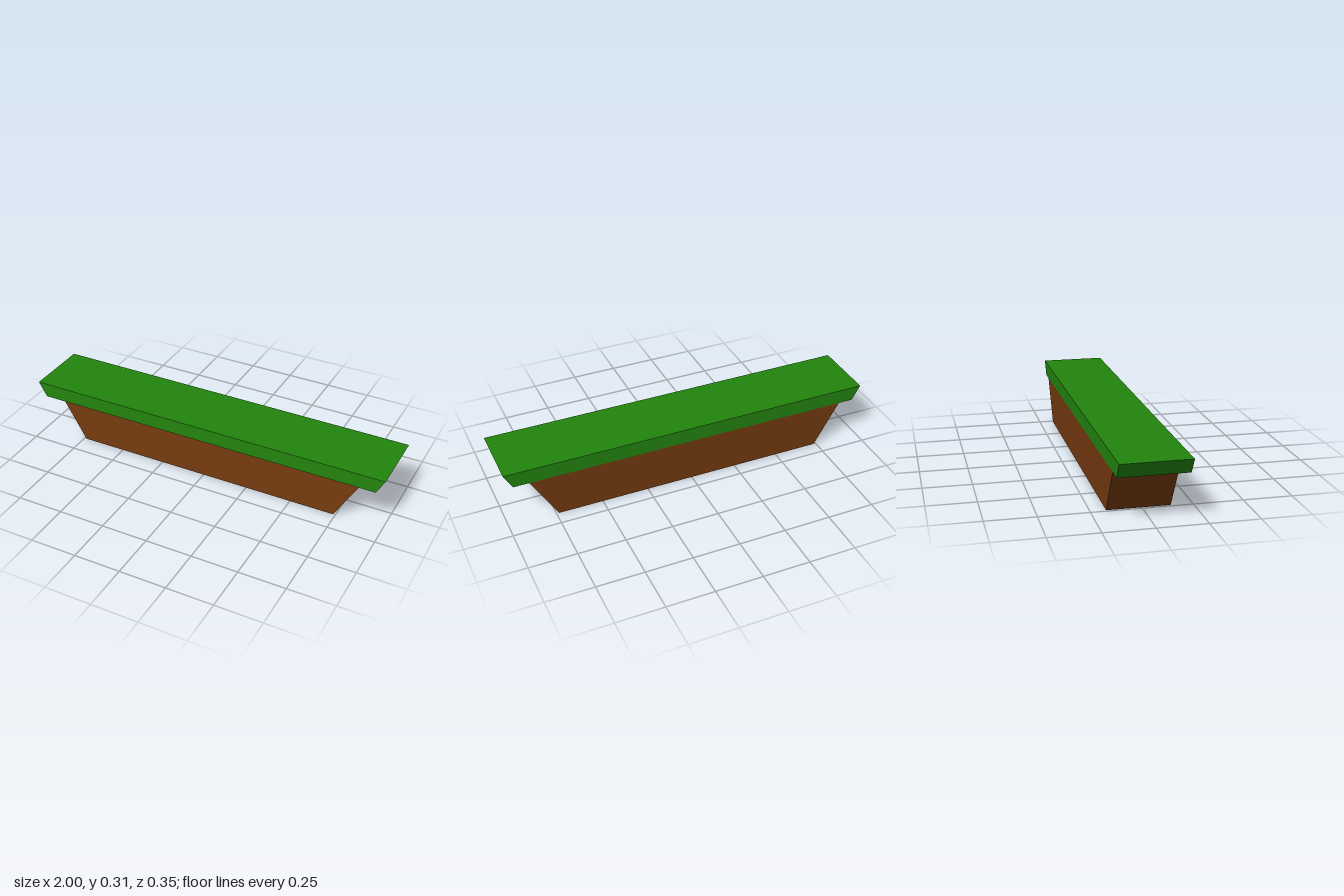
import * as THREE from 'three';

// Trapezoid bar: half widths at the bottom and top, height range, depth range
function taperedBar(name, material, bottomHalf, topHalf, y0, y1, z0, z1) {
  const shape = new THREE.Shape([
    new THREE.Vector2(-bottomHalf, y0),
    new THREE.Vector2(bottomHalf, y0),
    new THREE.Vector2(topHalf, y1),
    new THREE.Vector2(-topHalf, y1),
  ]);
  const geometry = new THREE.ExtrudeGeometry(shape, { depth: z1 - z0, bevelEnabled: false });
  geometry.translate(0, 0, z0);
  const mesh = new THREE.Mesh(geometry, material);
  mesh.name = name;
  return mesh;
}

export function createModel() {
  const grassGreen = new THREE.MeshStandardMaterial({ name: 'grass green', color: 0x23850e });
  const soilBrown = new THREE.MeshStandardMaterial({ name: 'soil brown', color: 0x763b0f });

  const group = new THREE.Group();
  group.name = 'grassPlatform';

  // Soil body, flush with the grass at the back
  group.add(taperedBar('soil', soilBrown, 0.738, 0.874, 0, 0.236, -0.173, 0.141));
  // Grass slab, overhanging the front and both ends
  group.add(taperedBar('grass', grassGreen, 0.955, 1, 0.236, 0.315, -0.173, 0.173));

  return group;
}
